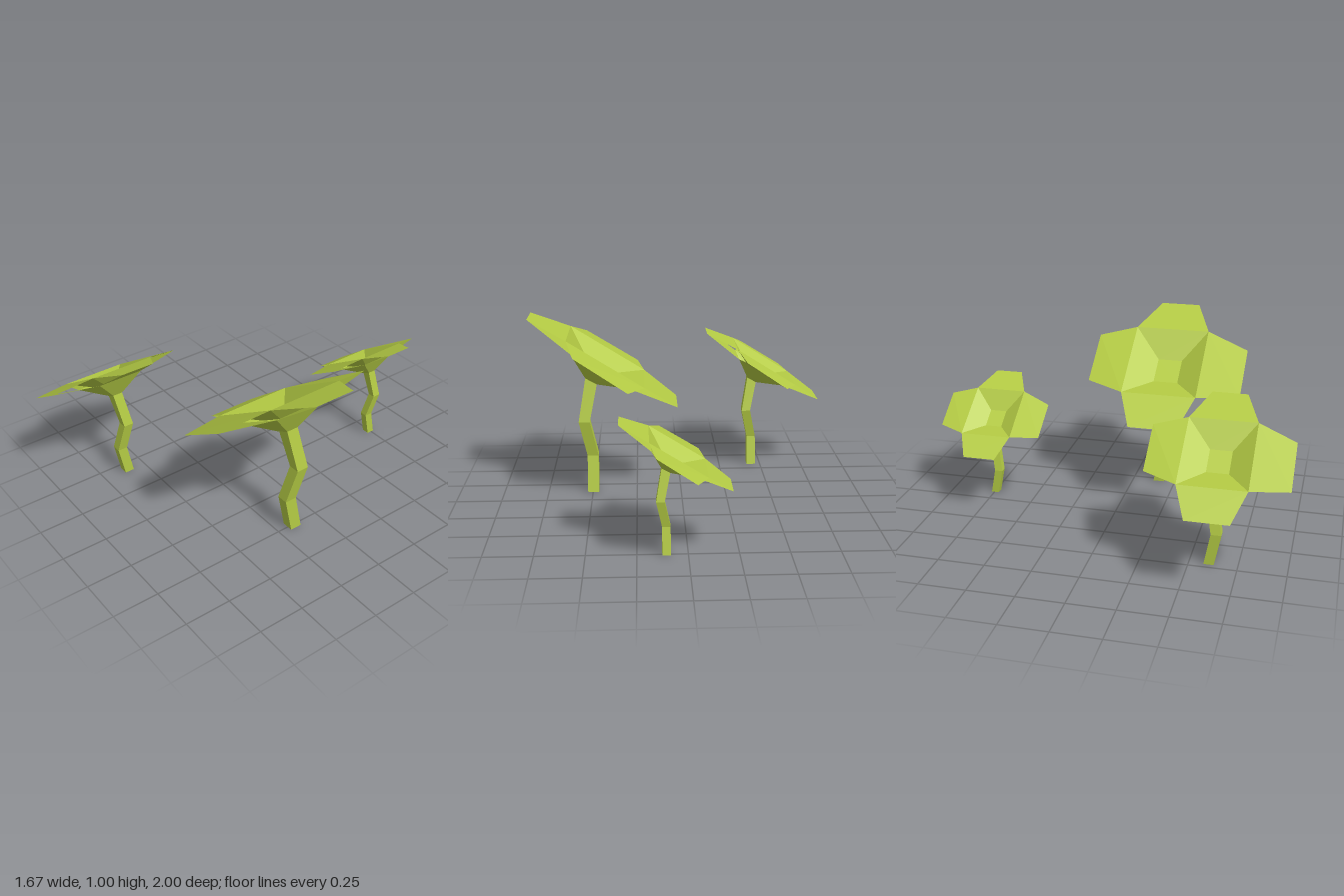
import * as THREE from 'three';

const material = new THREE.MeshStandardMaterial({ color: 0xb4cb44, flatShading: true, side: THREE.DoubleSide });

// Square ring, counter-clockwise from above; its left and right edges may differ in height
const ring = (xl, yl, xr, yr, zBack, zFront) => [
  [xl, yl, zFront], [xr, yr, zFront], [xr, yr, zBack], [xl, yl, zBack],
];

// Flat-shaded mesh from a list of quads
function quadMesh(name, quads) {
  const positions = quads.flatMap(([a, b, c, d]) => [a, b, c, a, c, d]).flat();
  const geometry = new THREE.BufferGeometry();
  geometry.setAttribute('position', new THREE.Float32BufferAttribute(positions, 3));
  geometry.computeVertexNormals();
  const mesh = new THREE.Mesh(geometry, material);
  mesh.name = name;
  return mesh;
}

// Four walls joining each ring to the next
function walls(rings) {
  const quads = [];
  for (let r = 0; r < rings.length - 1; r++) {
    const [a, b] = [rings[r], rings[r + 1]];
    for (let i = 0; i < 4; i++) {
      const j = (i + 1) % 4;
      quads.push([a[i], a[j], b[j], b[i]]);
    }
  }
  return quads;
}

function createPlant(name, x, z, scale) {
  const plant = new THREE.Group();
  plant.name = name;

  // Crooked square stem
  const stemTop = ring(-0.03, 0.62, 0.033, 0.655, 0.007, 0.073);
  const stemRings = [
    ring(-0.031, 0, 0.031, 0, -0.032, 0.032),
    ring(-0.031, 0.206, 0.031, 0.206, 0.006, 0.072),
    ring(0.012, 0.413, 0.074, 0.413, -0.032, 0.034),
    stemTop,
  ];
  plant.add(quadMesh('stem', [[...stemRings[0]].reverse(), ...walls(stemRings)]));

  // Tilted cup: outer shell up to the collar, inner bowl from rim to floor
  const collar = ring(-0.215, 0.62, 0.105, 0.818, -0.105, 0.198);
  const rim = ring(-0.294, 0.643, 0.121, 0.903, -0.172, 0.247);
  const floor = ring(-0.112, 0.657, 0.027, 0.745, -0.025, 0.112);
  plant.add(quadMesh('cupShell', walls([stemTop, collar])));
  plant.add(quadMesh('cupInside', [...walls([rim, floor]), floor]));

  // Petals: upper and lower sheets meeting at the tip edge
  const tips = {
    frontPetal: [[-0.256, 0.647, 0.485], [0.043, 0.83, 0.485]],
    leftPetal: [[0.335, 1, 0.155], [0.335, 1, -0.065]],
    backPetal: [[0.073, 0.855, -0.382], [-0.207, 0.667, -0.382]],
    rightPetal: [[-0.476, 0.51, -0.092], [-0.476, 0.51, 0.172]],
  };
  Object.entries(tips).forEach(([petal, [t0, t1]], i) => {
    const j = (i + 1) % 4;
    plant.add(quadMesh(petal, [
      [t0, t1, rim[j], rim[i]],
      [collar[i], collar[j], t1, t0],
    ]));
  });

  plant.position.set(x, 0, z);
  plant.scale.setScalar(scale);
  return plant;
}

export function createModel() {
  const group = new THREE.Group();
  group.name = 'flowerCluster';
  group.add(
    createPlant('largeFlower', 0.497, 0.155, 1),
    createPlant('mediumFlower', -0.445, 0.602, 0.822),
    createPlant('smallFlower', 0.106, -0.745, 0.668),
  );
  return group;
}
